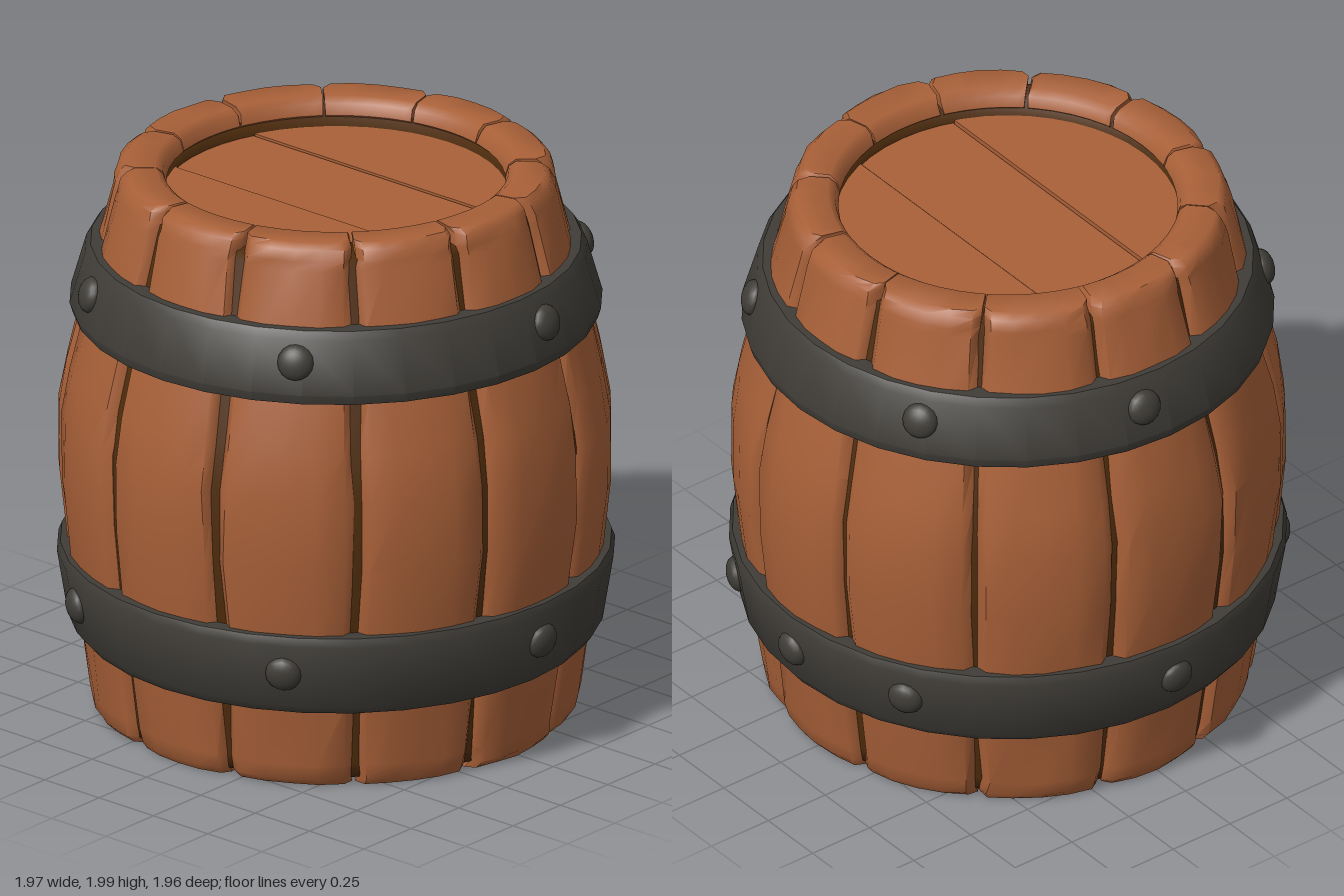
import * as THREE from 'three';
import { toCreasedNormals } from 'three/addons/utils/BufferGeometryUtils.js';

const V2 = (p) => new THREE.Vector2(p[0], p[1]);
const STAVES = 12;
const STEP = (Math.PI * 2) / STAVES;

// Barrel levels: height, outer radius, inner radius
const LEVELS = [
  [0.0, 0.83, 0.69], [0.025, 0.85, 0.665], [0.08, 0.86, 0.68], [0.32, 0.893, 0.72],
  [0.6, 0.935, 0.77], [0.85, 0.963, 0.8], [1.1, 0.965, 0.8], [1.27, 0.938, 0.78],
  [1.46, 0.89, 0.73], [1.7, 0.828, 0.67], [1.9, 0.778, 0.62], [1.93, 0.77, 0.588],
  [1.97, 0.757, 0.6], [1.99, 0.735, 0.625],
];

// Small repeatable noise in -1..1
function noise(a, b) {
  const s = Math.sin(a * 127.1 + b * 311.7) * 43758.5453;
  return 2 * (s - Math.floor(s)) - 1;
}

// One stave: bevelled curved cross-sections stacked up the barrel profile
function staveGeometry(k) {
  const across = [-1, -0.86, -0.45, 0, 0.45, 0.86, 1];
  const n = across.length, m = n * 2;
  const pos = [], idx = [];
  const seam = (s, j) => (s - 0.5) * STEP + 0.02 * noise(s % STAVES, 3) + 0.006 * noise(s % STAVES, j + 9);
  const gap = (s, j) => 0.009 + 0.006 * noise(s % STAVES, j + 40);
  LEVELS.forEach(([y, ro, ri], j) => {
    const a0 = seam(k, j) + gap(k, j), a1 = seam(k + 1, j) - gap(k + 1, j);
    const mid = (a0 + a1) / 2, half = (a1 - a0) / 2;
    const r = ro + 0.006 * noise(k, 77);
    const put = (t, radius) => {
      const a = mid + t * half;
      pos.push(radius * Math.sin(a), y, radius * Math.cos(a));
    };
    across.forEach((t, i) => {
      const bevel = Math.abs(t) === 1 ? 0.028 : 0;
      put(t, r - 0.012 * t * t - bevel + 0.005 * noise(k * 7 + i, j));
    });
    for (let i = n - 1; i >= 0; i--) put(across[i], ri);
  });
  const top = (LEVELS.length - 1) * m;
  for (let j = 0; j < LEVELS.length - 1; j++) {
    for (let i = 0; i < m; i++) {
      const a = j * m + i, b = j * m + ((i + 1) % m);
      idx.push(a, b, b + m, a, b + m, a + m);
    }
  }
  for (let i = 0; i < n - 1; i++) {
    const a = i, b = i + 1, c = m - 2 - i, d = m - 1 - i;
    idx.push(top + a, top + b, top + c, top + a, top + c, top + d);
    idx.push(a, c, b, a, d, c);
  }
  const g = new THREE.BufferGeometry();
  g.setAttribute('position', new THREE.Float32BufferAttribute(pos, 3));
  g.setIndex(idx);
  return toCreasedNormals(g, 0.85);
}

// Plank cut from a disc between two z values
function plankGeometry(R, z0, z1, depth) {
  const pts = [];
  const t0 = Math.asin(Math.max(-1, z0 / R)), t1 = Math.asin(Math.min(1, z1 / R));
  for (let i = 0; i <= 16; i++) {
    const t = t0 + ((t1 - t0) * i) / 16;
    pts.push([R * Math.cos(t), -R * Math.sin(t)]);
  }
  const left = pts.map(([x, y]) => [-x, y]).reverse();
  const g = new THREE.ExtrudeGeometry(new THREE.Shape([...pts, ...left].map(V2)), { depth, bevelEnabled: false });
  return g.rotateX(-Math.PI / 2);
}

export function createModel() {
  const model = new THREE.Group();
  model.name = 'barrel';
  const material = (name, color, extra = {}) => {
    const mat = new THREE.MeshStandardMaterial({ color, ...extra });
    mat.name = name;
    return mat;
  };
  const wood = material('wood', 0xa86038);
  const gapWood = material('darkGapWood', 0x4e2c0c, { side: THREE.DoubleSide });
  const iron = material('iron', 0x403d38);
  const add = (parent, name, geometry, mat) => {
    const mesh = new THREE.Mesh(geometry, mat);
    mesh.name = name;
    parent.add(mesh);
    return mesh;
  };
  const group = (name) => {
    const g = new THREE.Group();
    g.name = name;
    model.add(g);
    return g;
  };

  // Staves
  const staves = group('staves');
  for (let k = 0; k < STAVES; k++) add(staves, 'stave', staveGeometry(k), wood);

  // Dark core showing through the seams and inside the rims
  const shell = LEVELS.slice(1, 12).map(([y, r]) => [r - 0.036, y]);
  const core = [[0.672, 0.1], [0.672, 0.025], ...shell, [0.597, 1.94], [0.597, 1.86]];
  add(model, 'seamCore', new THREE.LatheGeometry(core.map(V2), 48), gapWood);

  // Recessed lid of three planks, over a dark backing
  const lid = group('lid');
  [[-0.62, -0.212, 1.886], [-0.206, 0.197, 1.88], [0.203, 0.62, 1.89]].forEach(([z0, z1, y]) => {
    add(lid, 'lidPlank', plankGeometry(0.61, z0, z1, 0.05), wood).position.y = y - 0.05;
  });
  const backing = add(lid, 'lidBacking', new THREE.CircleGeometry(0.6, 40), gapWood);
  backing.rotation.x = -Math.PI / 2;
  backing.position.y = 1.86;

  // Recessed bottom
  add(model, 'bottomBoard', new THREE.CylinderGeometry(0.69, 0.69, 0.04, 40), wood).position.y = 0.1;

  // Iron hoops: closed bevelled bands following the barrel's slope
  const hoop = (name, profile) => {
    const g = new THREE.LatheGeometry([...profile, profile[0]].map(V2), 32);
    add(model, name, toCreasedNormals(g, 0.6), iron);
  };
  hoop('lowerHoop', [[0.85, 0.3], [0.905, 0.3], [0.932, 0.335], [0.97, 0.57], [0.958, 0.6], [0.9, 0.6]]);
  hoop('upperHoop', [[0.85, 1.46], [0.915, 1.46], [0.926, 1.495], [0.873, 1.68], [0.853, 1.71], [0.79, 1.71]]);

  // Domed rivets, tilted to sit on each hoop
  const dome = new THREE.SphereGeometry(0.064, 16, 6, 0, Math.PI * 2, 0, Math.PI / 2);
  dome.scale(1, 0.6, 1).rotateX(Math.PI / 2);
  const rivets = (name, degrees, y, r, tilt) => {
    const ring = group(name);
    degrees.forEach((deg) => {
      const a = THREE.MathUtils.degToRad(deg);
      const rivet = add(ring, 'rivet', dome, iron);
      rivet.position.set(r * Math.sin(a), y, r * Math.cos(a));
      rivet.rotation.set(tilt, a, 0, 'YXZ');
    });
  };
  rivets('lowerRivets', [30, 90, 150, 180, 210, 270, 330], 0.46, 0.948, 0.16);
  rivets('upperRivets', [32, 96, 148, 212, 264, 328], 1.605, 0.89, -0.28);

  return model;
}
